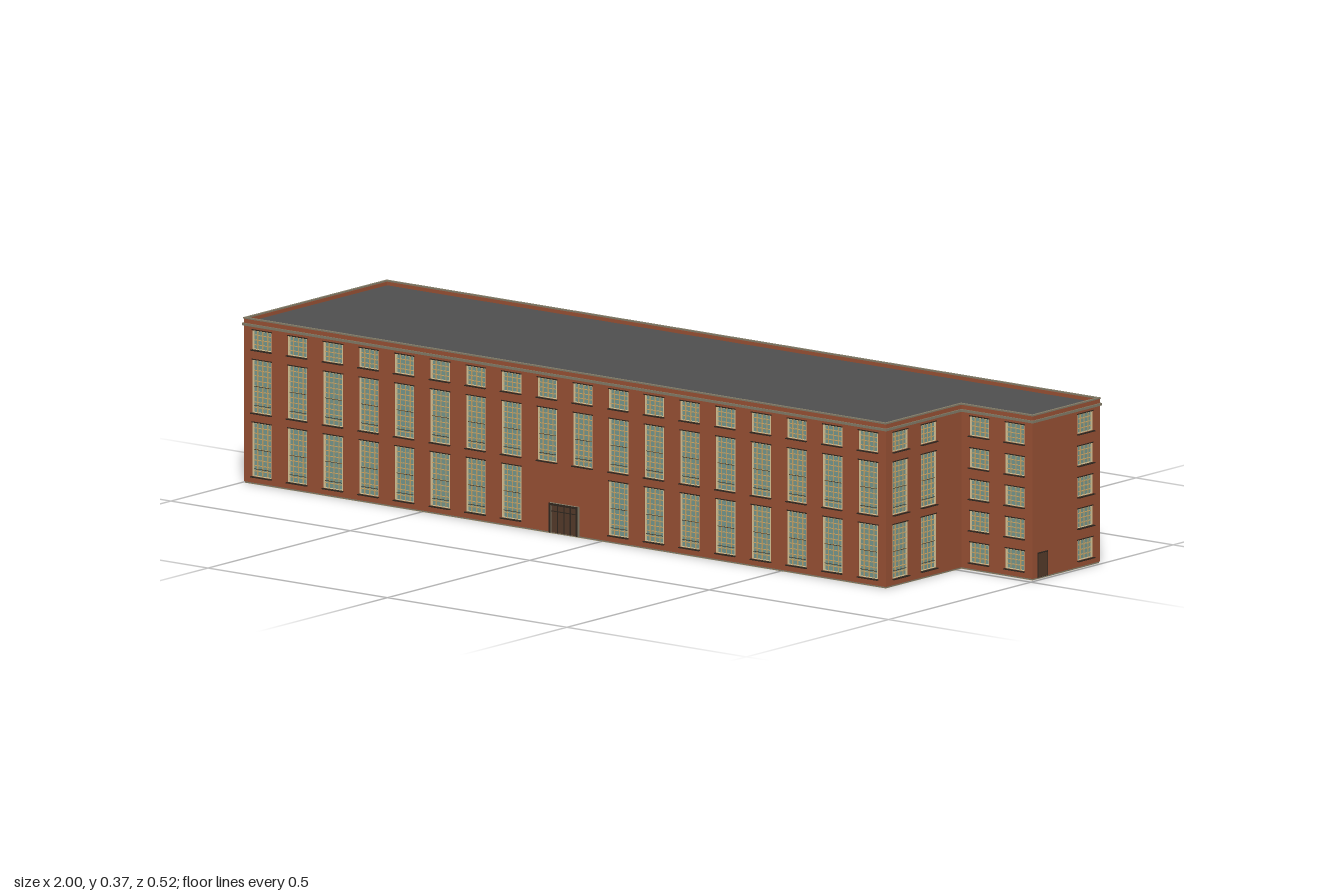
import * as THREE from 'three';
import { mergeGeometries } from 'three/addons/utils/BufferGeometryUtils.js';

const mat = (name, color) => {
  const m = new THREE.MeshStandardMaterial({ color });
  m.name = name;
  return m;
};
const M = {
  brick: mat('brick', 0x985034),
  roof: mat('roofFelt', 0x4f4f4f),
  stone: mat('stone', 0x827b67),
  dark: mat('darkTrim', 0x30271f),
  glass: mat('glass', 0x74978f),
  frame: mat('cream', 0xd9c596),
  bar: mat('glazingBar', 0xc6a466),
  door: mat('doorWood', 0x543a2a),
};

// Main dimensions
const X = 0.994, Z = 0.251, NOTCH_X = 0.795, NOTCH_Z = -0.014;
const T = 0.006, BASE = 0.004, TOP = 0.367, RECESS = 0.005;
const STEP = 0.0994, W = 0.055;
const TALL = [[0.018, 0.138], [0.16, 0.278], [0.301, 0.344]];
const SHORT = [[0.018, 0.063], [0.09, 0.133], [0.16, 0.203], [0.23, 0.273], [0.301, 0.344]];

const box = (w, h, d, x, y, z) => new THREE.BoxGeometry(w, h, d).translate(x, y, z);
const plate = (w, h, x, y, z) => new THREE.PlaneGeometry(w, h).translate(x, y, z);

function addMesh(group, name, geos, material) {
  if (!geos.length) return;
  const mesh = new THREE.Mesh(geos.length > 1 ? mergeGeometries(geos) : geos[0], material);
  mesh.name = name;
  group.add(mesh);
}

// L-shaped plan, pushed outward by o (shape y is -z)
function plan(o) {
  return [[-X - o, -Z - o], [NOTCH_X + o, -Z - o], [NOTCH_X + o, -NOTCH_Z - o],
    [X + o, -NOTCH_Z - o], [X + o, Z + o], [-X - o, Z + o]].map(p => new THREE.Vector2(...p));
}

// Horizontal slab or ring following the plan
function slab(outer, y0, y1, inner) {
  const s = new THREE.Shape(plan(outer));
  if (inner !== undefined) s.holes.push(new THREE.Path(plan(inner)));
  return new THREE.ExtrudeGeometry(s, { depth: y1 - y0, bevelEnabled: false })
    .rotateX(-Math.PI / 2).translate(0, y0, 0);
}

// One window: glass, frame, glazing bars, lintel and sill, facing +z
function addWindow(parts, u, y0, y1) {
  const h = y1 - y0, yc = (y0 + y1) / 2, f = 0.0038, bw = 0.0015, bd = 0.0026;
  const barZ = -RECESS + bd / 2;
  parts.glass.push(plate(W, h, u, yc, -RECESS));
  for (const s of [-1, 1]) parts.frame.push(box(f, h, 0.003, u + s * (W - f) / 2, yc, -RECESS + 0.0015));
  for (const y of [y0 + 0.0007, y1 - 0.0007]) parts.frame.push(box(W, 0.0014, 0.003, u, y, -RECESS + 0.0015));
  for (const k of [-1, 0, 1]) parts.bar.push(box(bw, h, bd, u + k * W / 4, yc, barZ));
  const rows = Math.round(h / 0.0115);
  for (let i = 1; i < rows; i++) {
    parts.bar.push(box(W - 2 * f, bw, bd, u, y0 + h * i / rows, barZ));
  }
  // dark transoms on the tall windows
  if (h > 0.1) {
    for (const k of [0.14, 0.5]) parts.dark.push(plate(W - 2 * f, 0.0012, u, y0 + h * k, -RECESS + 0.0028));
  }
  parts.dark.push(box(W + 0.002, 0.0024, 0.003, u, y1 + 0.0012, -0.001));
  parts.dark.push(box(W + 0.002, 0.0022, 0.011, u, y0 - 0.0011, -0.0005));
}

// Framed double entrance standing proud of the wall
function addEntrance(parts, u) {
  const w = 0.08, h = 0.07;
  const surround = (list, d, z) => {
    for (const s of [-1, 1]) list.push(box(0.005, h - BASE, d, u + s * (w - 0.005) / 2, (h + BASE) / 2, z));
    list.push(box(w - 0.01, 0.005, d, u, h - 0.0025, z));
  };
  surround(parts.stone, 0.006, 0.003);
  surround(parts.dark, 0.001, 0.0065);
  parts.door.push(box(w - 0.01, h - 0.009, 0.003, u, (h - 0.001) / 2, 0.0015));
  for (const k of [-1, 0, 1]) parts.dark.push(box(0.002, h - 0.009, 0.002, u + k * 0.018, (h - 0.001) / 2, 0.0035));
  parts.dark.push(box(w - 0.01, 0.002, 0.002, u, 0.052, 0.0035));
}

// Brick wall with openings; columns are [centre, floors]
function wall(name, length, x, z, turn, columns, extras) {
  const g = new THREE.Group();
  g.name = name;
  const parts = { glass: [], frame: [], bar: [], dark: [], door: [], stone: [] };
  const L = length / 2;
  const shape = new THREE.Shape([[-L, BASE], [L, BASE], [L, TOP], [-L, TOP]].map(p => new THREE.Vector2(...p)));
  for (const [u, floors] of columns) {
    for (const [y0, y1] of floors) {
      shape.holes.push(new THREE.Path([[u - W / 2, y0], [u - W / 2, y1], [u + W / 2, y1], [u + W / 2, y0]]
        .map(p => new THREE.Vector2(...p))));
      addWindow(parts, u, y0, y1);
    }
  }
  if (extras) extras(parts);
  const brick = new THREE.ExtrudeGeometry(shape, { depth: T, bevelEnabled: false }).translate(0, 0, -T);
  addMesh(g, name + 'Brick', [brick], M.brick);
  addMesh(g, 'windowGlass', parts.glass, M.glass);
  addMesh(g, 'windowFrames', parts.frame, M.frame);
  addMesh(g, 'glazingBars', parts.bar, M.bar);
  addMesh(g, 'sillsAndTrim', parts.dark, M.dark);
  addMesh(g, 'doorLeaves', parts.door, M.door);
  addMesh(g, 'doorSurround', parts.stone, M.stone);
  g.position.set(x, 0, z);
  g.rotation.y = turn;
  return g;
}

export function createModel() {
  const model = new THREE.Group();
  model.name = 'brickBuilding';

  // Column positions along x: 18 tall bays, two short ones on the wing
  const bays = [];
  for (let i = 0; i < 20; i++) {
    const floors = i > 17 ? SHORT : (i === 8 || i === 9) ? TALL.slice(1) : TALL;
    bays.push([-0.9443 + i * STEP, floors]);
  }
  const DOOR_X = -0.0994;
  const along = (list, centre, sign) => list.map(([c, f]) => [sign * (c - centre), f]);

  // Long sides
  const fc = (NOTCH_X - X) / 2, wc = (NOTCH_X + X) / 2;
  model.add(wall('frontWall', NOTCH_X + X, fc, Z, 0, along(bays.slice(0, 18), fc, 1),
    p => addEntrance(p, DOOR_X - fc)));
  model.add(wall('wingFrontWall', X - NOTCH_X, wc, NOTCH_Z, 0, along(bays.slice(18), wc, 1)));
  model.add(wall('backWall', 2 * X, 0, -Z, Math.PI, along(bays, 0, -1), p => addEntrance(p, -DOOR_X)));

  // Ends
  const ends = [-0.2, -0.1, 0, 0.1, 0.2].map(z => [z, TALL]);
  model.add(wall('rightEndWall', 2 * Z, -X, 0, -Math.PI / 2, along(ends, 0, 1)));
  const mc = (Z + NOTCH_Z) / 2, ec = (NOTCH_Z - Z) / 2;
  model.add(wall('leftEndWall', Z - NOTCH_Z, NOTCH_X, mc, Math.PI / 2, along(ends.slice(3), mc, -1)));
  model.add(wall('wingEndWall', NOTCH_Z + Z, X, ec, Math.PI / 2, along([[-0.199, SHORT]], ec, -1), p => {
    const u = -(-0.0475 - ec);
    p.dark.push(box(0.035, 0.056, 0.002, u, 0.032, 0.0005));
    p.door.push(box(0.029, 0.052, 0.003, u, 0.031, 0.001));
  }));

  // Roof, bands around the top, base and underside
  addMesh(model, 'roof', [slab(-T / 2, 0.35, 0.359)], M.roof);
  addMesh(model, 'cornice', [slab(0.003, 0.352, 0.3575, -0.004)], M.stone);
  addMesh(model, 'coping', [slab(0.001, TOP, 0.37, -0.005)], M.stone);
  addMesh(model, 'base', [slab(-0.002, 0.0005, BASE)], M.stone);
  addMesh(model, 'underside', [slab(-0.002, 0, 0.0005)], M.frame);
  return model;
}
